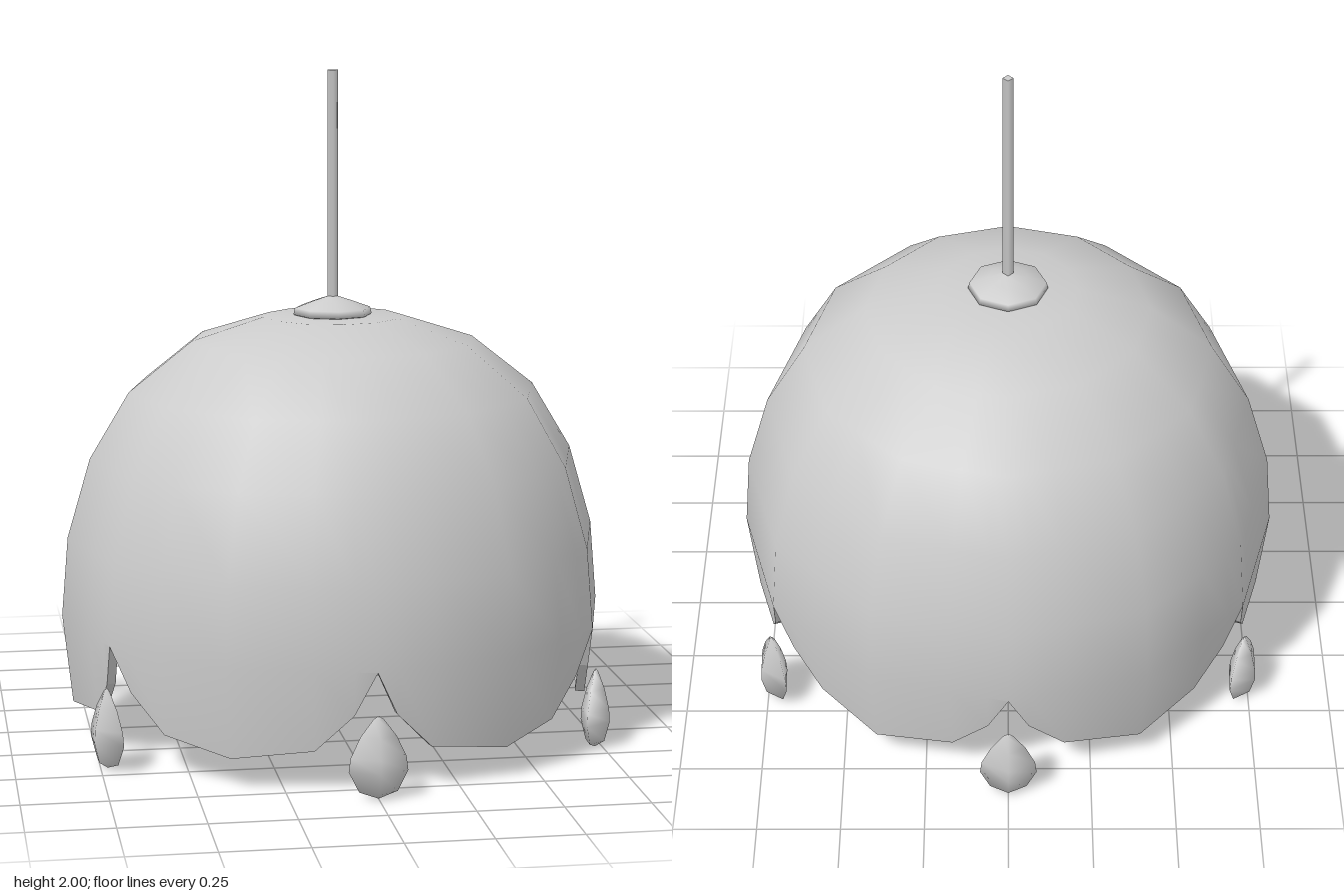
import * as THREE from 'three';

const grey = new THREE.MeshStandardMaterial({ color: 0xcccccc });
const THICK = 0.03;

// Dome profile [radius, height], crown down to the notch line
const PROFILE = [[0, 1.265], [0.21, 1.26], [0.43, 1.19], [0.62, 1.04], [0.74, 0.84], [0.81, 0.6], [0.83, 0.36]];
// Half of one petal's edge: [share of the way from notch to petal tip, height]
const SCALLOP = [[0, 0.36], [0.15, 0.23], [0.42, 0.12], [1, 0.09]];

function add(parent, name, geometry) {
  const mesh = new THREE.Mesh(geometry, grey);
  mesh.name = name;
  parent.add(mesh);
  return mesh;
}

// Columns round the shade: a point on the 12-sided ring of radius 1, and the rim height there
function rimColumns() {
  const cols = [];
  for (let petal = 0; petal < 6; petal++) {
    const at = (step) => {
      const a = (petal * 2 + step) * Math.PI / 6;
      return new THREE.Vector2(Math.sin(a), Math.cos(a));
    };
    for (const [f, y] of SCALLOP) cols.push({ p: at(0).lerp(at(1), f), y });
    for (const [f, y] of SCALLOP.slice(0, 3).reverse()) cols.push({ p: at(2).lerp(at(1), f), y });
  }
  return cols;
}

// Joins rows of points (top to bottom, each running round the axis) into a surface
function gridGeometry(rows, normals, flip) {
  const n = rows[0].length, index = [];
  for (let i = 0; i < rows.length - 1; i++) {
    for (let j = 0; j < n - 1; j++) {
      const a = i * n + j, b = a + n, c = b + 1, d = a + 1;
      index.push(...(flip ? [a, c, b, a, d, c] : [a, b, c, a, c, d]));
    }
  }
  let g = new THREE.BufferGeometry().setFromPoints(rows.flat());
  g.setIndex(index);
  if (normals) {
    g.setAttribute('normal', new THREE.Float32BufferAttribute(normals.flatMap((v) => v.toArray()), 3));
  } else {
    g = g.toNonIndexed();
    g.computeVertexNormals();
  }
  return g;
}

// One skin of the shade, moved inward by inset, with smooth normals along the profile
function shadeSkin(cols, inset) {
  const rows = [], normals = [];
  const profile = [...PROFILE, [0.8, 0.09]];
  profile.forEach(([r, y], i) => {
    const [r0, y0] = profile[Math.max(i - 1, 0)];
    const [r1, y1] = profile[Math.min(i + 1, profile.length - 1)];
    const slope = i === 0 ? new THREE.Vector2(0, 1) : new THREE.Vector2(y0 - y1, r1 - r0).normalize();
    const isRim = i === profile.length - 1;
    rows.push(cols.map(({ p, y: rimY }) => {
      const radius = isRim ? 0.83 - 0.03 * (0.36 - rimY) / 0.27 : r;
      const rr = Math.max(radius - inset * (i === 0 ? 0 : Math.max(slope.x, 0.3)), 0);
      const yy = isRim ? rimY : Math.max(y - inset * slope.y, 0.36);
      return new THREE.Vector3(p.x * rr, yy, p.y * rr);
    }));
    for (const { p } of cols) {
      const u = p.clone().normalize();
      normals.push(new THREE.Vector3(u.x * slope.x, slope.y, u.y * slope.x).multiplyScalar(inset ? -1 : 1));
    }
  });
  return { rows, geometry: gridGeometry(rows, normals, inset > 0) };
}

function lathe(points, sides) {
  return new THREE.LatheGeometry(points.map(([x, y]) => new THREE.Vector2(x, y)), sides);
}

export function createModel() {
  const model = new THREE.Group();
  model.name = 'pendantLamp';

  // Scalloped shade: outer skin, inner skin and the edge between them
  const shade = new THREE.Group();
  shade.name = 'shade';
  model.add(shade);
  const cols = rimColumns();
  cols.push(cols[0]);
  const outer = shadeSkin(cols, 0);
  const inner = shadeSkin(cols, THICK);
  add(shade, 'shadeOuter', outer.geometry);
  add(shade, 'shadeInner', inner.geometry);
  add(shade, 'shadeRim', gridGeometry([outer.rows.at(-1), inner.rows.at(-1)]));

  // Hanging rod and the small cap at its foot
  add(model, 'rod', new THREE.CylinderGeometry(0.016, 0.016, 0.72, 4)).position.y = 1.64;
  add(model, 'cap', lathe([[0.09, 1.255], [0.12, 1.265], [0.115, 1.285], [0.06, 1.305], [0.015, 1.32], [0, 1.32]], 8));

  // Bulb and its holder inside the shade
  add(model, 'bulb', new THREE.SphereGeometry(0.215, 12, 8)).position.y = 0.56;
  add(model, 'bulbHolder', new THREE.CylinderGeometry(0.06, 0.06, 0.52, 8)).position.y = 0.98;

  // One flattened, four-sided drop below every notch
  const drop = lathe([[0, 0], [0.055, 0.02], [0.085, 0.08], [0.08, 0.12], [0.052, 0.18], [0.015, 0.23], [0, 0.24]], 4);
  drop.scale(1, 1, 0.53);
  for (let i = 0; i < 6; i++) {
    const a = i * Math.PI / 3;
    const mesh = add(model, 'drop' + (i + 1), drop);
    mesh.position.set(0.842 * Math.sin(a), 0, 0.842 * Math.cos(a));
    mesh.rotation.y = a;
  }
  return model;
}
